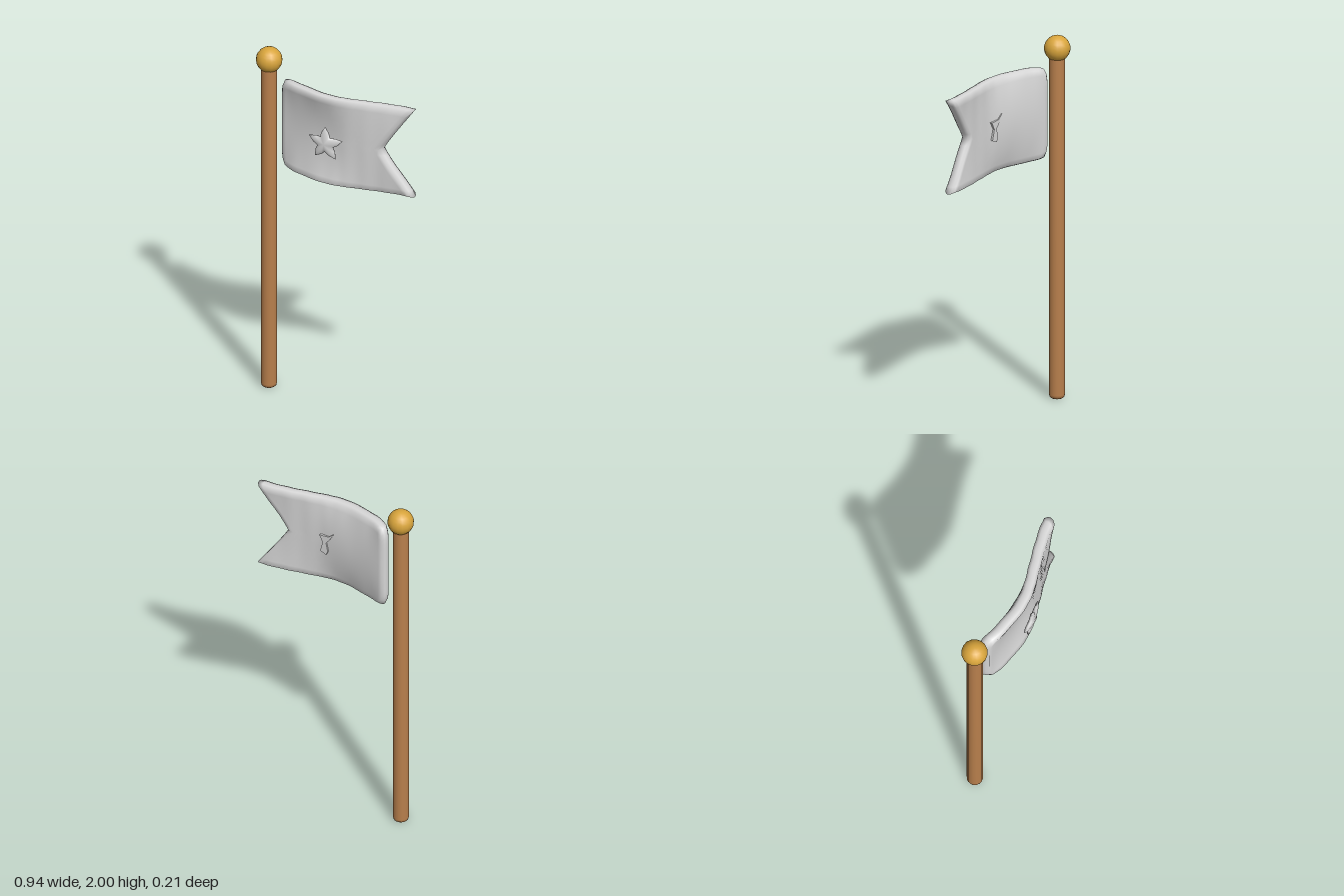
import * as THREE from 'three';
import { mergeVertices } from 'three/addons/utils/BufferGeometryUtils.js';

const wood = new THREE.MeshStandardMaterial({ name: 'wood', color: 0xb87f4c });
const gold = new THREE.MeshStandardMaterial({ name: 'gold', color: 0xd9a53c });
const cloth = new THREE.MeshStandardMaterial({ name: 'cloth', color: 0xd6d6d6 });

const POLE_X = -0.405, POLE_Z = -0.013, FLAG_Y = 1.598;

// Linear interpolation through [x, z] points
function along(points, x) {
  for (let i = 1; i < points.length; i++) {
    const [x0, z0] = points[i - 1], [x1, z1] = points[i];
    if (x <= x1) return z0 + (z1 - z0) * THREE.MathUtils.smootherstep(x, x0, x1) * 0.3 + (z1 - z0) * 0.7 * Math.max(0, (x - x0) / (x1 - x0));
  }
  return points[points.length - 1][1];
}

// Moves each vertex by a rule and recomputes smooth normals on welded vertices
function reshape(geometry, rule) {
  geometry.deleteAttribute('uv');
  geometry.deleteAttribute('normal');
  const p = geometry.attributes.position;
  for (let i = 0; i < p.count; i++) p.setXYZ(i, ...rule(p.getX(i), p.getY(i), p.getZ(i)));
  const welded = mergeVertices(geometry, 1e-4);
  welded.computeVertexNormals();
  return welded;
}

function addMesh(group, name, geometry, material) {
  const mesh = new THREE.Mesh(geometry, material);
  mesh.name = name;
  group.add(mesh);
  return mesh;
}

// Wave of the long edges, and the flatter wave at mid height
const edgeWave = [[-0.32, -0.017], [-0.2, 0.018], [-0.05, 0.038], [0.04, 0.033], [0.1, 0.017], [0.2, -0.015], [0.3, -0.047], [0.4, -0.073], [0.47, -0.08]];
const middleWave = [[-0.32, -0.017], [-0.1, -0.002], [0.1, 0.002], [0.2, -0.014], [0.3, -0.038], [0.47, -0.075]];

function flagGeometry() {
  return reshape(new THREE.BoxGeometry(2, 2, 2, 28, 16, 4), (u, v, w) => {
    // Rounded rim
    const inset = 0.018 * w * w;
    const a = Math.abs(v);
    const left = -0.32 + inset + 0.02 * Math.pow(a, 10);
    const right = 0.302 + 0.168 * Math.pow(a, 1.08) - inset;
    const x = left + (right - left) * (u + 1) / 2;
    const cornerDip = 0.012 * Math.pow(Math.max(0, -u), 12);
    const y = FLAG_Y + v * (0.258 - inset * 0.6 - cornerDip);
    const bend = THREE.MathUtils.lerp(along(middleWave, x), along(edgeWave, x), v * v);
    return [x, y, bend + w * 0.032];
  });
}

// Puffy five-pointed star that curves back towards the free end
function starGeometry() {
  const ball = new THREE.SphereGeometry(1, 20, 10).rotateX(Math.PI / 2);
  return reshape(ball, (x, y, z) => {
    const k = 5 * (Math.atan2(y, x) - Math.PI / 2);
    const r = 0.0705 + 0.027 * Math.cos(k) + 0.0025 * Math.cos(2 * k);
    const sx = 0.013 + x * r;
    return [sx, FLAG_Y - 0.003 + y * r, 0.093 - 0.8 * (sx + 0.09) ** 2 + z * 0.016];
  });
}

// Sliver of a second star showing on the reverse
function reverseStarGeometry() {
  const outline = [[0.02, 1.672], [0.05, 1.645], [0.105, 1.64], [0.085, 1.6], [0.1, 1.54], [0.065, 1.525], [0.055, 1.55], [0.065, 1.6], [0.045, 1.625]];
  const shape = new THREE.Shape(outline.map(([x, y]) => new THREE.Vector2(x, y)));
  const g = new THREE.ExtrudeGeometry(shape, { depth: 0.02, bevelEnabled: false });
  const p = g.attributes.position;
  for (let i = 0; i < p.count; i++) p.setZ(i, p.getZ(i) - 0.031 - 0.12 * p.getX(i));
  g.computeVertexNormals();
  return g;
}

export function createModel() {
  const group = new THREE.Group();
  group.name = 'flagOnPole';

  // Pole with softened foot
  const profile = [[0, 0], [0.03, 0], [0.039, 0.007], [0.043, 0.022], [0.043, 1.9], [0, 1.9]];
  const pole = addMesh(group, 'pole', new THREE.LatheGeometry(profile.map(([r, y]) => new THREE.Vector2(r, y)), 16), wood);
  pole.position.set(POLE_X, 0, POLE_Z);

  // Ball on top
  const ball = addMesh(group, 'ballFinial', new THREE.SphereGeometry(0.07, 16, 12), gold);
  ball.position.set(POLE_X, 1.93, POLE_Z - 0.002);

  // Waving swallow-tailed flag with its stars
  addMesh(group, 'flag', flagGeometry(), cloth);
  addMesh(group, 'frontStar', starGeometry(), cloth);
  addMesh(group, 'reverseStar', reverseStarGeometry(), cloth);

  return group;
}
